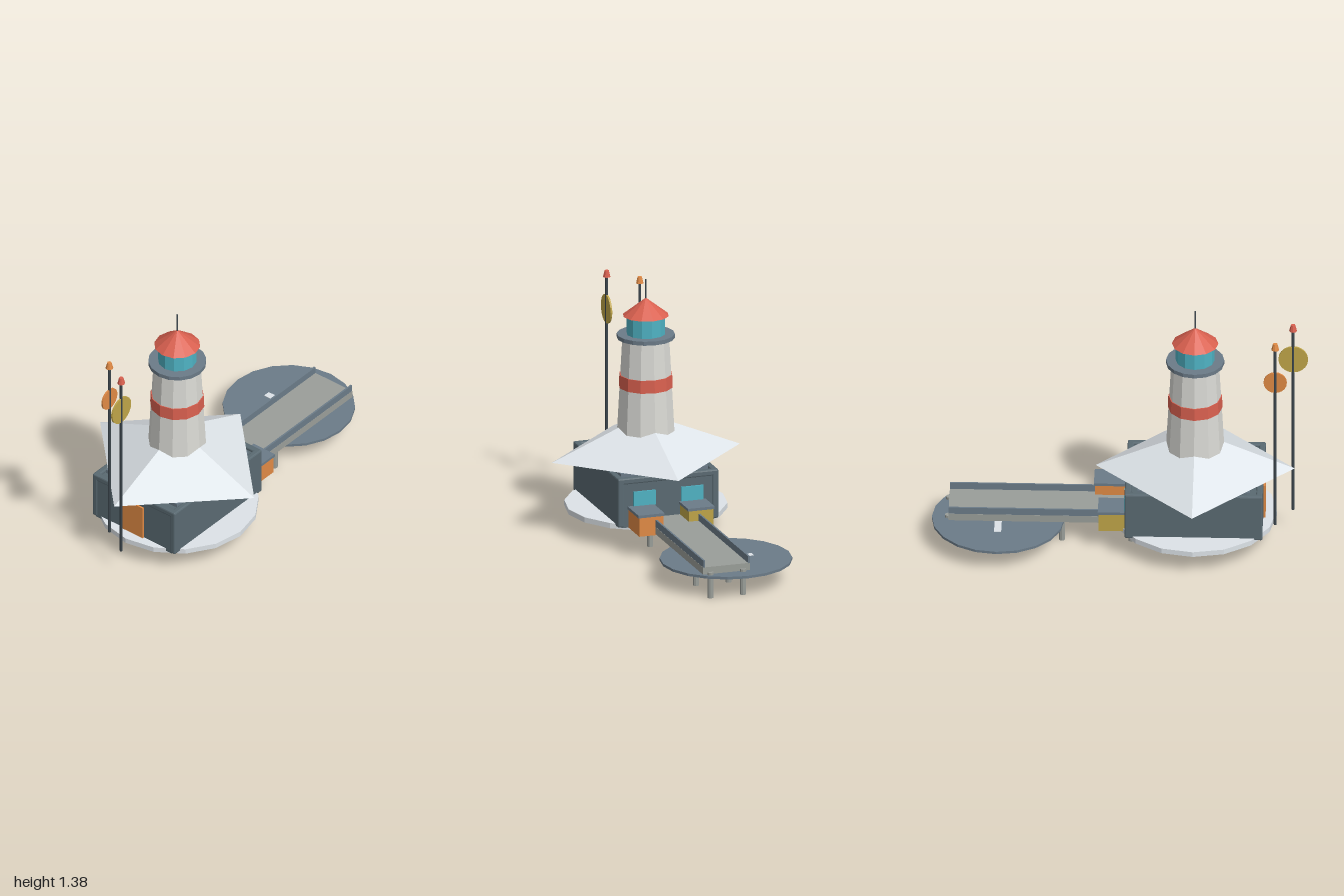
import * as THREE from 'three';
import { RoundedBoxGeometry } from 'three/addons/geometries/RoundedBoxGeometry.js';

const mat = (color) => new THREE.MeshStandardMaterial({ color, flatShading: true });
const M = {
  wall: mat(0x5a6a72), slate: mat(0x6b7b88), white: mat(0xdde3e8), stone: mat(0xdadad5),
  red: mat(0xd9604f), teal: mat(0x4fb3c4), orange: mat(0xe08a45), yellow: mat(0xbfa548),
  deck: mat(0x9a9e99), dark: mat(0x3c464d),
};

export function createModel() {
  const model = new THREE.Group();
  const add = (parent, name, geo, m, x = 0, y = 0, z = 0) => {
    const mesh = new THREE.Mesh(geo, m);
    mesh.name = name;
    mesh.position.set(x, y, z);
    parent.add(mesh);
    return mesh;
  };
  const group = (name) => {
    const g = new THREE.Group();
    g.name = name;
    model.add(g);
    return g;
  };
  // box given by its min and max on each axis
  const box = (p, name, m, [x0, x1], [y0, y1], [z0, z1]) =>
    add(p, name, new THREE.BoxGeometry(x1 - x0, y1 - y0, z1 - z0), m,
      (x0 + x1) / 2, (y0 + y1) / 2, (z0 + z1) / 2);
  // upright cylinder or frustum between two heights
  const drum = (p, name, m, rBottom, rTop, y0, y1, sides, x = 0, z = 0) =>
    add(p, name, new THREE.CylinderGeometry(rTop, rBottom, y1 - y0, sides), m, x, (y0 + y1) / 2, z);

  // lighthouse tower
  const tower = group('tower');
  tower.position.x = -0.4;
  drum(tower, 'foundationDisc', M.white, 0.435, 0.435, 0.113, 0.142, 16);
  drum(tower, 'hallRoof', M.white, 0.53, 0, 0.41, 0.632, 4);
  drum(tower, 'towerShaft', M.stone, 0.162, 0.127, 0.42, 1.058, 12);
  drum(tower, 'redBand', M.red, 0.146, 0.143, 0.785, 0.855, 12);
  drum(tower, 'gallery', M.slate, 0.155, 0.155, 1.056, 1.078, 16);
  drum(tower, 'lanternRoom', M.teal, 0.104, 0.104, 1.078, 1.182, 12);
  drum(tower, 'lanternRoof', M.red, 0.124, 0, 1.18, 1.277, 12);
  drum(tower, 'spire', M.dark, 0.004, 0.004, 1.26, 1.38, 6);

  // hall below the tower
  const hall = group('hall');
  box(hall, 'hallCore', M.wall, [-0.765, -0.037], [0.125, 0.385], [-0.26, 0.26]);
  for (const s of [1, -1]) {
    add(hall, 'longWall', new RoundedBoxGeometry(0.735, 0.272, 0.035, 1, 0.008), M.wall,
      -0.4, 0.264, s * 0.266);
    add(hall, 'endParapet', new RoundedBoxGeometry(0.035, 0.035, 0.53, 1, 0.008), M.wall,
      -0.4 + s * 0.35, 0.3825, 0);
    const [a, b] = [0.073 * s, 0.197 * s].sort((p, q) => p - q);
    box(hall, 'window', M.teal, [-0.04, -0.028], [0.24, 0.322], [a, b]);
  }
  box(hall, 'roofSlab', M.slate, [-0.7, -0.1], [0.37, 0.406], [-0.245, 0.245]);
  box(hall, 'door', M.orange, [-0.776, -0.76], [0.13, 0.34], [-0.07, 0.07]);

  // gangway with side rails and paired legs
  const gangway = group('gangway');
  box(gangway, 'gangwayDeck', M.deck, [-0.06, 0.91], [0.13, 0.17], [-0.132, 0.132]);
  for (const s of [1, -1]) {
    box(gangway, 'gangwayRail', M.slate, [-0.03, 0.91], [0.168, 0.208], [s * 0.126 - 0.005, s * 0.126 + 0.005]);
    for (const x of [-0.065, 0.306, 0.676, 0.912])
      drum(gangway, 'leg', M.deck, 0.017, 0.017, 0, 0.142, 10, x, s * 0.092);
  }

  // round landing platform
  const platform = group('landingPlatform');
  drum(platform, 'platformDisc', M.slate, 0.353, 0.353, 0.113, 0.127, 20, 0.646, -0.088);
  box(platform, 'platformMark', M.white, [0.625, 0.663], [0.125, 0.13], [-0.24, 0.06]);

  // crates beside the gangway
  const crate = (name, m, x1, z0, z1) => {
    const g = group(name);
    box(g, 'crateBody', m, [-0.036, x1 - 0.005], [0.124, 0.23], [z0, z1]);
    box(g, 'crateLid', M.slate, [-0.036, x1], [0.228, 0.243], [z0 - 0.006, z1 + 0.006]);
  };
  crate('orangeCrate', M.orange, 0.142, 0.088, 0.223);
  crate('yellowCrate', M.yellow, 0.112, -0.204, -0.066);

  // signal masts with a round sign and a lamp
  const mast = (name, x, z, top, lamp, sign, signX, signY, signR) => {
    const g = group(name);
    drum(g, 'mastPole', M.dark, 0.008, 0.008, 0.13, top, 8, x, z);
    drum(g, 'mastLamp', lamp, 0.021, 0.012, top, top + 0.036, 8, x, z);
    const disc = add(g, 'mastSign', new THREE.CylinderGeometry(signR, signR, 0.01, 20), sign, signX, signY, z);
    disc.rotation.x = Math.PI / 2;
  };
  mast('tallMast', -0.92, 0.04, 1.245, M.red, M.yellow, -0.921, 1.067, 0.079);
  mast('shortMast', -0.83, -0.115, 1.22, M.orange, M.orange, -0.83, 1.015, 0.062);

  return model;
}
